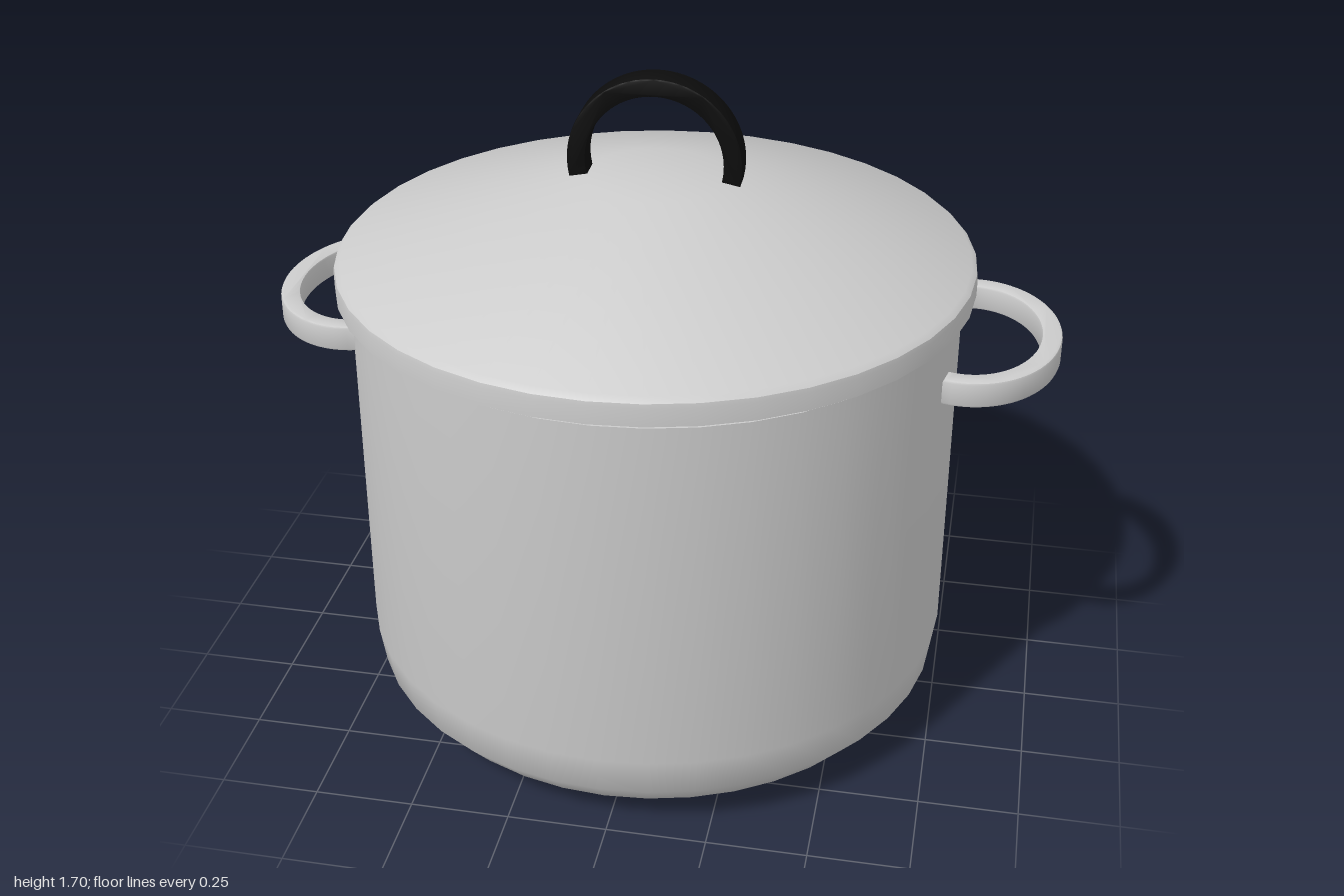
import * as THREE from 'three';
import { toCreasedNormals } from 'three/addons/utils/BufferGeometryUtils.js';

const SEGMENTS = 40;

function addMesh(group, name, geometry, material) {
  const mesh = new THREE.Mesh(toCreasedNormals(geometry, 0.6), material);
  mesh.name = name;
  group.add(mesh);
  return mesh;
}

function lathe(profile) {
  return new THREE.LatheGeometry(profile.map(([r, y]) => new THREE.Vector2(r, y)), SEGMENTS);
}

// Flat bow: an elliptical band from angle a0 to a1, extruded and centred in depth
function bow(rx, ry, band, a0, a1, depth, bevel) {
  const shape = new THREE.Shape();
  const b = bevel;
  shape.absellipse(0, 0, rx - b, ry - b, a0, a1, false);
  const inner = new THREE.Path();
  inner.absellipse(0, 0, rx - band + b, ry - band + b, a0, a1, false);
  inner.getPoints(24).reverse().forEach((p) => shape.lineTo(p.x, p.y));
  shape.closePath();
  const geometry = new THREE.ExtrudeGeometry(shape, {
    depth: depth - 2 * b, curveSegments: 24, steps: 1,
    bevelEnabled: true, bevelThickness: b, bevelSize: b, bevelSegments: 2,
  });
  return geometry.translate(0, 0, b - depth / 2);
}

export function createModel() {
  const model = new THREE.Group();
  const metal = new THREE.MeshStandardMaterial({ color: 0xcccccc, side: THREE.DoubleSide });
  const black = new THREE.MeshStandardMaterial({ color: 0x0c0c0c });

  // Hollow pot with a rounded base
  const pot = addMesh(model, 'pot', lathe([
    [0, 0], [0.45, 0.005], [0.6, 0.02], [0.69, 0.06], [0.75, 0.13], [0.765, 0.23],
    [0.765, 1.16], [0.735, 1.16], [0.735, 0.23], [0.67, 0.09], [0.45, 0.035], [0, 0.03],
  ]), metal);
  pot.position.set(-0.015, 0, 0.005);

  // Conical lid with a short rim, hollow underneath
  const lid = addMesh(model, 'lid', lathe([
    [0, 1.41], [0.17, 1.405], [0.765, 1.22], [0.765, 1.18], [0.8, 1.18],
    [0.8, 1.225], [0.798, 1.236], [0.785, 1.248], [0.175, 1.437], [0, 1.438],
  ]), metal);
  lid.position.x = -0.018;

  // Upright arched lid handle
  const tilt = 0.2;
  const lidHandle = addMesh(model, 'lidHandle',
    bow(0.217, 0.217, 0.046, -tilt, Math.PI + tilt, 0.072, 0.004), black);
  lidHandle.position.set(-0.017, 1.478, -0.004);
  lidHandle.rotation.y = 0.02;

  // Horizontal side handles, one each side
  for (const side of [1, -1]) {
    const handle = addMesh(model, side > 0 ? 'leftHandle' : 'rightHandle',
      bow(0.225, 0.292, 0.05, -Math.PI / 2 - 0.2, Math.PI / 2 + 0.2, 0.066, 0.006), metal);
    handle.rotation.set(Math.PI / 2, 0, side > 0 ? 0 : Math.PI);
    handle.position.set(side * 0.775, 1.052, -0.012);
  }
  return model;
}
